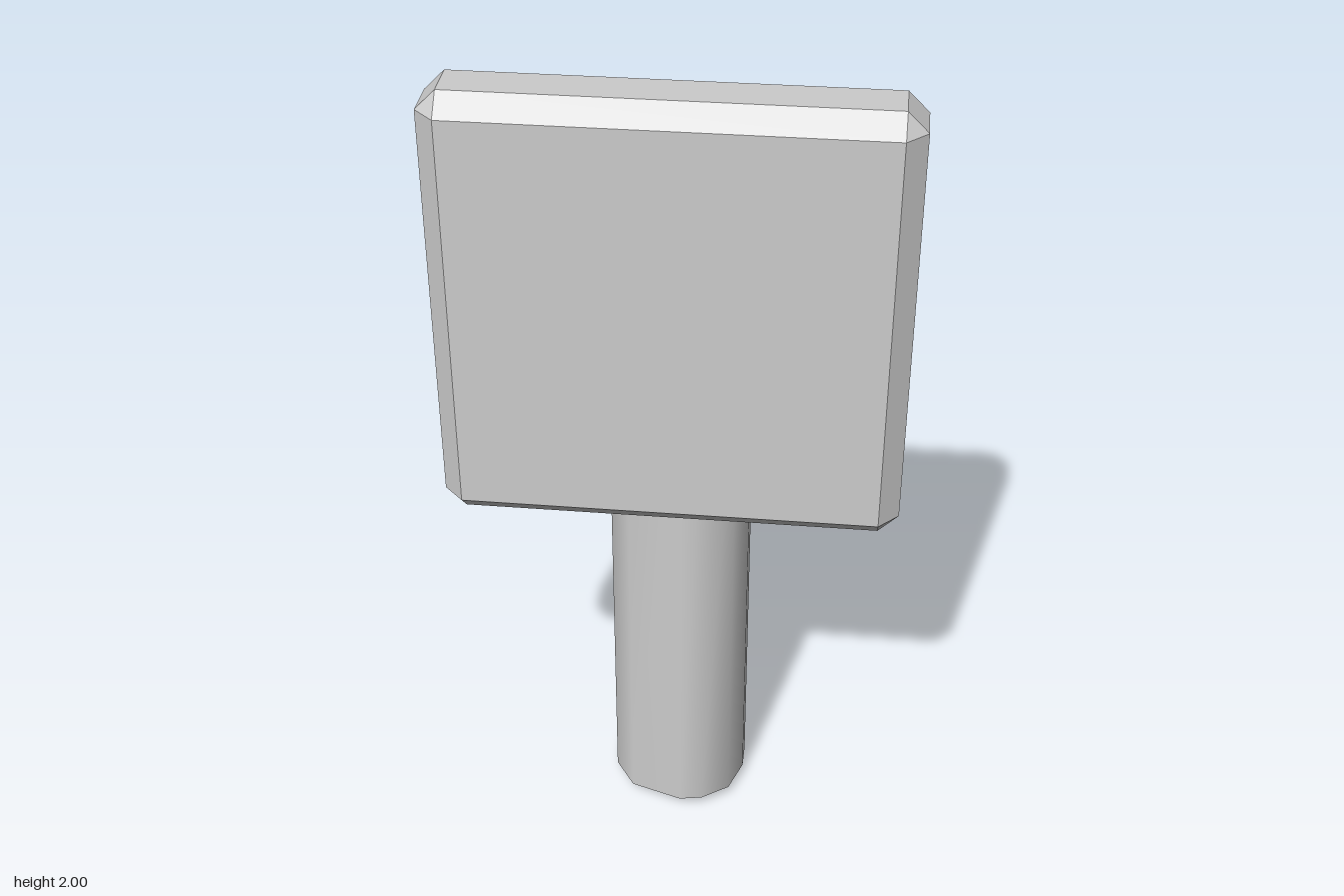
import * as THREE from 'three';
import { mergeGeometries } from 'three/addons/utils/BufferGeometryUtils.js';
import { ConvexGeometry } from 'three/addons/geometries/ConvexGeometry.js';

// Box with flat bevels: each corner becomes a small triangle.
function chamferedBox(hx, hy, hz, c) {
  const points = [];
  for (const x of [-1, 1]) for (const y of [-1, 1]) for (const z of [-1, 1]) {
    points.push(
      new THREE.Vector3(x * hx, y * (hy - c), z * (hz - c)),
      new THREE.Vector3(x * (hx - c), y * hy, z * (hz - c)),
      new THREE.Vector3(x * (hx - c), y * (hy - c), z * hz)
    );
  }
  return new ConvexGeometry(points);
}

// Closed strip between two rings, smooth around, sharp at its borders.
function band(lower, upper) {
  const n = lower.length, index = [];
  for (let i = 0; i < n; i++) {
    const j = (i + 1) % n;
    index.push(i, n + i, j, j, n + i, n + j);
  }
  const geometry = new THREE.BufferGeometry();
  geometry.setAttribute('position', new THREE.Float32BufferAttribute([...lower, ...upper].flat(), 3));
  geometry.setIndex(index);
  geometry.computeVertexNormals();
  return geometry;
}

export function createModel() {
  const model = new THREE.Group();
  const material = new THREE.MeshStandardMaterial({ color: 0xcccccc });

  // Bevelled square plate
  const plate = new THREE.Mesh(chamferedBox(0.51, 0.51, 0.0925, 0.045), material);
  plate.name = 'plate';
  plate.position.set(0, 1.49, 0.1325);
  model.add(plate);

  // Slightly irregular outline of the post, as [x, z]
  const outline = [
    [-0.167, -0.09], [-0.15, -0.14], [-0.07, -0.21], [-0.02, -0.225], [0.12, -0.175], [0.165, -0.09],
    [0.165, -0.025], [0.135, 0.06], [0.07, 0.105], [0.015, 0.115], [-0.11, 0.075], [-0.16, 0.0]
  ];
  const midZ = -0.055;
  const level = (y, s) => outline.map(([x, z]) => [x * s, y, midZ + (z - midZ) * s]);

  // Top ring is tipped nearly upright, leaning into the back of the plate
  const tip = outline.map(([x, z]) => {
    const t = (z + 0.225) / 0.34;
    return [x * 0.86, 1.66 - 0.33 * t, 0.008 + 0.07 * t];
  });
  const tipCentre = outline.map(() => [0, 1.495, 0.043]);

  const rings = [level(0, 0), level(0, 0.81), level(0.03, 1), level(1.335, 1), tip, tipCentre];
  const bands = rings.slice(1).map((ring, i) => band(rings[i], ring));
  const post = new THREE.Mesh(mergeGeometries(bands), material);
  post.name = 'post';
  model.add(post);

  return model;
}
